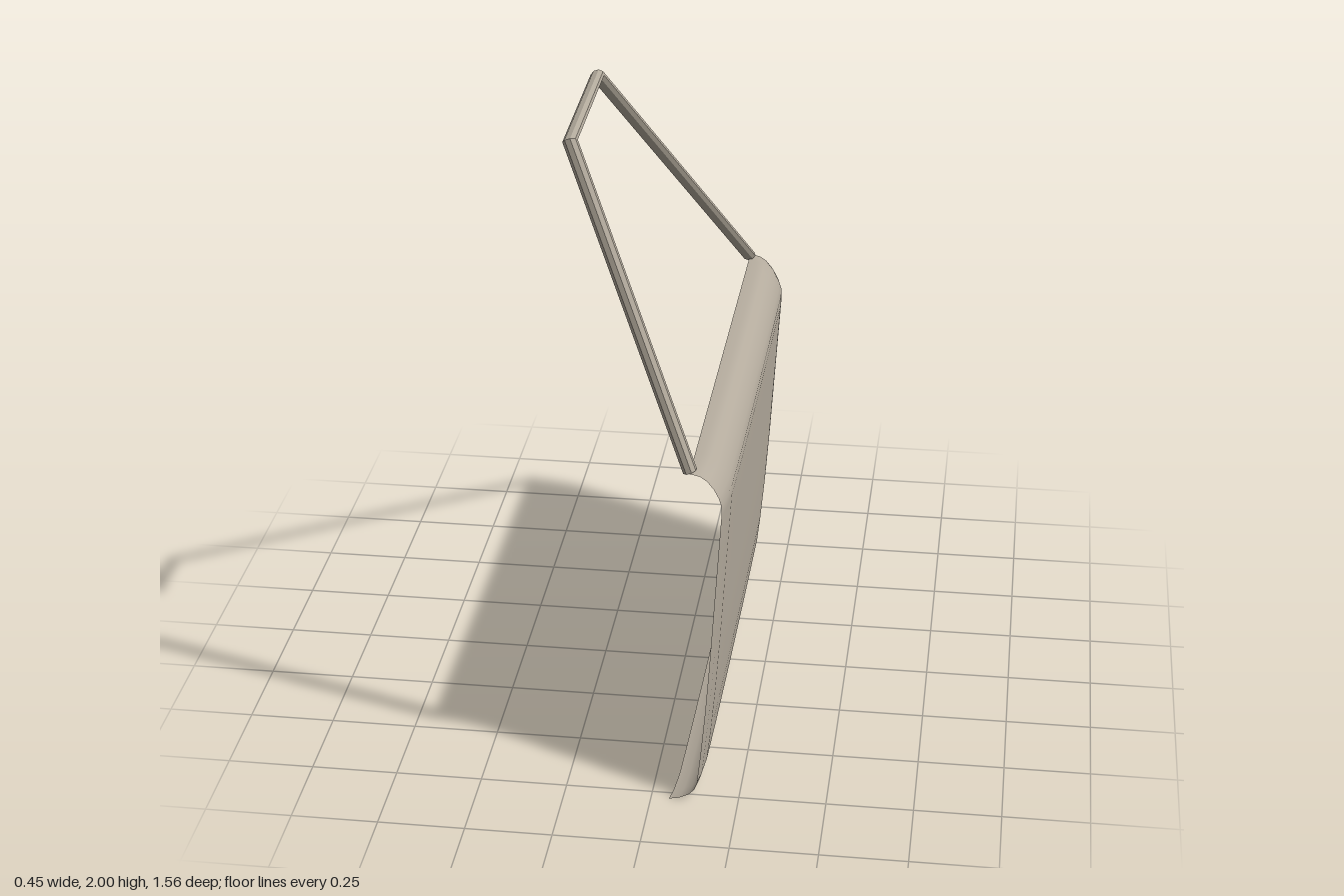
import * as THREE from 'three';

const shell = new THREE.MeshStandardMaterial({ color: 0xb5ac9e, side: THREE.DoubleSide });
shell.name = 'warm grey panel';

// Grid of rings -> indexed geometry; wrap closes each ring
function loft(rings, wrap) {
  const n = rings[0].length, pos = [], index = [];
  rings.forEach(r => r.forEach(p => pos.push(p.x, p.y, p.z)));
  for (let i = 0; i < rings.length - 1; i++) {
    for (let j = 0; j < (wrap ? n : n - 1); j++) {
      const k = (j + 1) % n, a = i * n + j, b = i * n + k, c = a + n, d = b + n;
      index.push(a, b, c, b, d, c);
    }
  }
  const g = new THREE.BufferGeometry();
  g.setAttribute('position', new THREE.Float32BufferAttribute(pos, 3));
  g.setIndex(index);
  return g;
}

// Curved outer skin: one upright profile carried along z, tucked in at both ends
function makeSkin() {
  const profile = [
    [0.075, 0], [0.105, 0.006], [0.13, 0.018], [0.147, 0.035], [0.155, 0.06], [0.165, 0.15],
    [0.177, 0.28], [0.19, 0.45], [0.203, 0.65], [0.213, 0.8], [0.221, 0.92], [0.221, 0.95],
    [0.213, 0.975], [0.2, 1.0], [0.182, 1.023], [0.162, 1.037], [0.14, 1.042], [0.11, 1.043],
  ];
  const stations = [ // z, inward shift
    [-0.78, 0.02], [-0.755, 0.011], [-0.72, 0.003], [-0.66, 0], [-0.3, 0.001], [0.1, 0.003],
    [0.45, 0.006], [0.65, 0.009], [0.73, 0.015], [0.78, 0.023],
  ];
  const rings = stations.map(([z, inset]) => profile.map(([x, y], j) => {
    const hold = j === profile.length - 1 ? 0 : 1; // the top edge stays straight
    return new THREE.Vector3(x - inset * hold, y + 0.009 * y * z / 0.78, z);
  }));
  const g = loft(rings, false);
  g.computeVertexNormals();
  return g;
}

// Window frame: eight-sided bars with mitred joints, lying in a leaning plane
function makeFrame() {
  const up = new THREE.Vector3(-0.325, 0.946, 0).normalize();
  const normal = new THREE.Vector3(up.y, -up.x, 0);
  const foot = new THREE.Vector3(0.11, 1.045, 0);
  const path = [[0.755, 0.005], [0.722, 0.985], [0.24, 0.995], [-0.75, -0.004]]; // z, height along lean
  const halfWidth = [0.021, 0.013, 0.013], halfDepth = 0.019;
  const side = i => { // in-plane perpendicular of bar i
    const dz = path[i + 1][0] - path[i][0], du = path[i + 1][1] - path[i][1], l = Math.hypot(dz, du);
    return [-du / l, dz / l];
  };
  const rings = path.map(([z, u], i) => {
    const a = Math.max(i - 1, 0), b = Math.min(i, 2);
    const s = side(a), t = side(b);
    let m = [s[0] * halfWidth[a], s[1] * halfWidth[a]];
    if (a !== b) { // corner where the offset lines of both bars meet
      const det = s[0] * t[1] - s[1] * t[0];
      m = [(halfWidth[a] * t[1] - halfWidth[b] * s[1]) / det, (halfWidth[b] * s[0] - halfWidth[a] * t[0]) / det];
    }
    return Array.from({ length: 8 }, (_, k) => {
      const angle = (k + 0.5) * Math.PI / 4;
      const c = Math.cos(angle) * 1.05, d = Math.sin(angle) * 1.05 * halfDepth;
      const p = foot.clone().addScaledVector(up, u + m[1] * c).addScaledVector(normal, d);
      p.z = z + m[0] * c;
      return p;
    });
  });
  // Collapsed end rings close both feet
  const cap = ring => {
    const mid = new THREE.Vector3();
    ring.forEach(p => mid.addScaledVector(p, 1 / ring.length));
    return ring.map(() => mid);
  };
  const g = loft([cap(rings[0]), ...rings, cap(rings[3])], true).toNonIndexed();
  g.computeVertexNormals(); // faceted bars
  return g;
}

export function createModel() {
  const door = new THREE.Group();
  door.name = 'door';
  const skin = new THREE.Mesh(makeSkin(), shell);
  skin.name = 'doorSkin';
  const frame = new THREE.Mesh(makeFrame(), shell);
  frame.name = 'windowFrame';
  door.add(skin, frame);
  return door;
}
